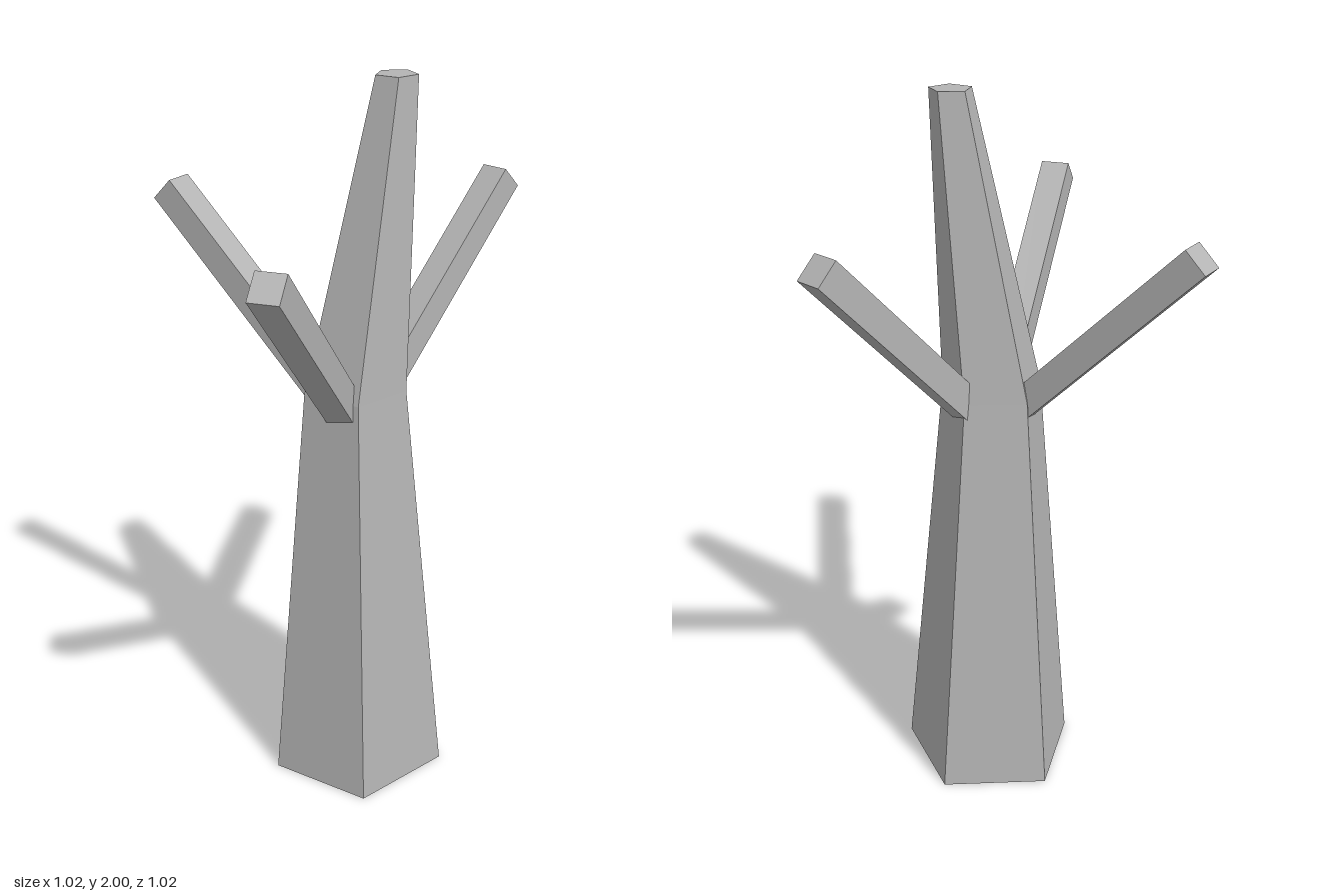
import * as THREE from 'three';

const rad = THREE.MathUtils.degToRad;

export function createModel() {
  const group = new THREE.Group();
  group.name = 'bareTree';
  const bark = new THREE.MeshStandardMaterial({ color: 0xb4b4b4 });
  bark.name = 'grey bark';
  bark.flatShading = true;

  // Trunk: five-sided, tapering in two stages, the upper stage leaning to +x
  const axisX = -0.077, axisZ = 0.013;
  const rings = [
    { y: 0, x: axisX, r: 0.253 },
    { y: 1.18, x: axisX, r: 0.143 },
    { y: 2, x: 0.042, r: 0.057 },
  ];
  const trunkGeo = new THREE.CylinderGeometry(1, 1, 2, 5, 2, false, -Math.PI / 2);
  const p = trunkGeo.attributes.position;
  for (let i = 0; i < p.count; i++) {
    const ring = rings[Math.round(p.getY(i)) + 1];
    p.setXYZ(i, ring.x + p.getX(i) * ring.r, ring.y, axisZ + p.getZ(i) * ring.r);
  }
  trunkGeo.computeVertexNormals();
  const trunk = new THREE.Mesh(trunkGeo, bark);
  trunk.name = 'trunk';
  group.add(trunk);

  // Branches: square bars rising at 45 degrees from inside the trunk
  const inner = 0.05, outer = 0.589, tipY = 1.648, thick = 0.08;
  const run = outer - inner;
  const branchGeo = new THREE.BoxGeometry(run * Math.SQRT2, thick, thick);
  branchGeo.rotateZ(Math.PI / 4);
  branchGeo.translate((inner + outer) / 2, tipY - run / 2, 0);
  const headings = { frontRightBranch: 130.8, backRightBranch: 234.1, leftBranch: -22.9 };
  for (const [name, angle] of Object.entries(headings)) {
    const branch = new THREE.Mesh(branchGeo, bark);
    branch.name = name;
    branch.position.set(axisX, 0, axisZ);
    branch.rotation.y = -rad(angle);
    group.add(branch);
  }
  return group;
}
